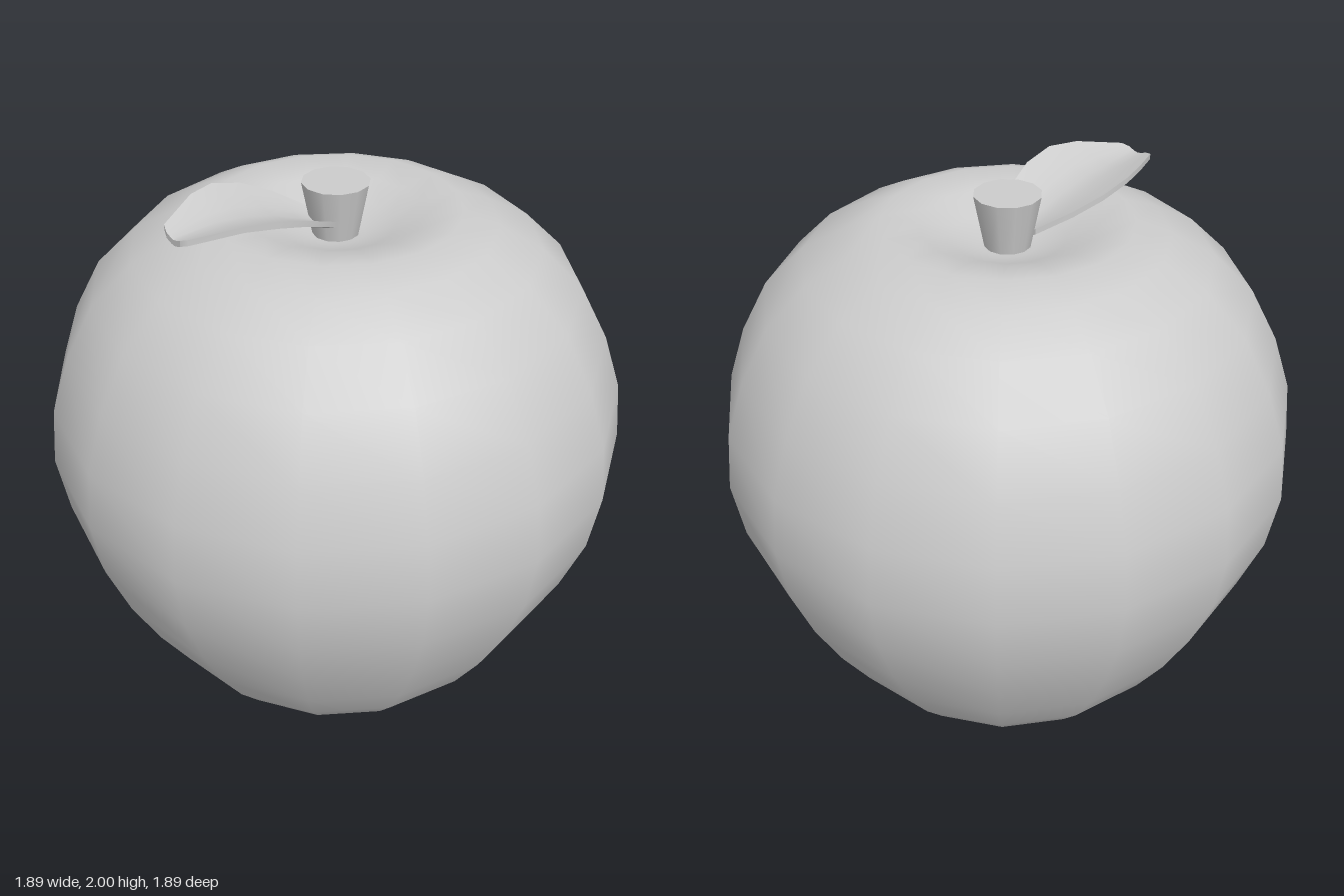
import * as THREE from 'three';

const material = new THREE.MeshStandardMaterial({ color: 0xcccccc });

function part(name, geometry) {
  const mesh = new THREE.Mesh(geometry, material);
  mesh.name = name;
  return mesh;
}

// Fruit: a sixteen-sided turned profile, from the base up and into the top hollow
function createFruit() {
  const profile = [
    [0, 0], [0.1, 0.01], [0.29, 0.05], [0.44, 0.13], [0.56, 0.24], [0.66, 0.37],
    [0.76, 0.54], [0.85, 0.73], [0.92, 0.93], [0.947, 1.13], [0.924, 1.32],
    [0.86, 1.5], [0.766, 1.67], [0.635, 1.795], [0.5, 1.865], [0.39, 1.905],
    [0.27, 1.885], [0.18, 1.845], [0.09, 1.82], [0, 1.815],
  ].map(([r, y]) => new THREE.Vector2(r, y));
  return part('fruit', new THREE.LatheGeometry(profile, 16));
}

// Stem: a short peg that widens upward
function createStem() {
  const stem = part('stem', new THREE.CylinderGeometry(0.105, 0.072, 0.17, 12));
  stem.position.y = 1.9;
  return stem;
}

// Leaf: a thin slab bent through stations of x, centre z, half width, rib height, edge lift
function createLeaf() {
  const stations = [
    [-0.562, -0.015, 0.035, 1.95, 0.01],
    [-0.55, -0.018, 0.062, 1.953, 0.015],
    [-0.41, -0.022, 0.136, 1.955, 0.037],
    [-0.32, -0.02, 0.168, 1.945, 0.045],
    [-0.22, -0.02, 0.166, 1.92, 0.045],
    [-0.13, -0.015, 0.135, 1.887, 0.04],
    [-0.04, -0.01, 0.07, 1.85, 0.025],
  ];
  const thickness = 0.018;
  const last = stations.length - 1;
  const geometry = new THREE.BoxGeometry(1, 1, 1, last, 1, 6);
  const position = geometry.attributes.position;
  for (let i = 0; i < position.count; i++) {
    const [x, z, half, rib, lift] = stations[Math.round((position.getX(i) + 0.5) * last)];
    const across = position.getZ(i) * 2;
    const y = rib + lift * Math.abs(across) ** 1.5 + position.getY(i) * thickness;
    position.setXYZ(i, x, y, z + half * across);
  }
  geometry.computeVertexNormals();
  return part('leaf', geometry);
}

export function createModel() {
  const model = new THREE.Group();
  model.name = 'apple';
  model.add(createFruit(), createStem(), createLeaf());
  return model;
}
